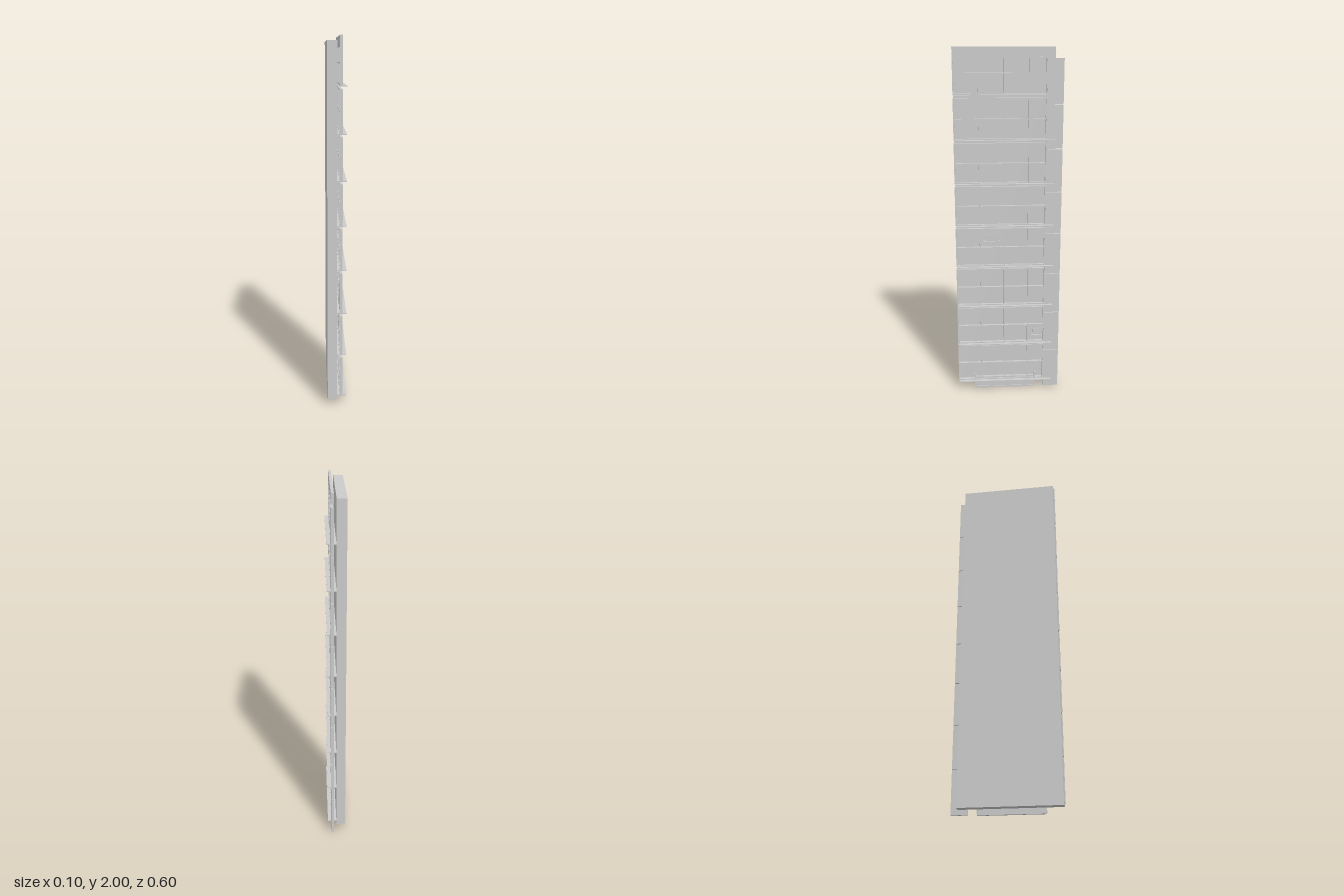
import * as THREE from 'three';

export function createModel() {
  const group = new THREE.Group();
  const material = new THREE.MeshStandardMaterial({ color: 0xcccccc, flatShading: true });

  // Box given by its extents on each axis
  const box = (name, [x0, x1], [y0, y1], [z0, z1]) => {
    const mesh = new THREE.Mesh(new THREE.BoxGeometry(x1 - x0, y1 - y0, z1 - z0), material);
    mesh.position.set((x0 + x1) / 2, (y0 + y1) / 2, (z0 + z1) / 2);
    mesh.name = name;
    group.add(mesh);
  };
  const around = (c, size) => [c - size / 2, c + size / 2];

  // Wall slab behind the facade, and the band along the top
  box('wallSlab', [-0.052, 0], [0.028, 1.975], [-0.255, 0.295]);
  box('topBand', [0.013, 0.028], [1.945, 2], [-0.25, 0.298]);

  const floors = 8, storey = 0.2425, barX = [0.014, 0.029];
  for (let i = 0; i < floors; i++) {
    const y = 0.053 + i * storey;
    const top = i === floors - 1 ? 1.945 : y + 0.224;

    // Projecting floor ledge and corner panel
    box('floorLedge', [0, 0.05], around(y, 0.005), [-0.255, 0.295]);
    box('cornerPanel', [0.015, 0.031], [y - 0.049, y + 0.19], [-0.297, -0.207]);

    // Window grid of the storey
    for (const z of [0.295, 0.16, 0.024, -0.113, -0.206])
      box('verticalMullion', barX, [y, top], around(z, 0.006));
    for (const h of [y + 0.005, y + 0.113, top])
      box('horizontalMullion', barX, around(h, 0.006), [-0.207, 0.297]);
  }

  // Ground-level railing
  box('railingPanel', [0.018, 0.026], [0.008, 0.058], [-0.157, 0.2]);
  box('railingBar', [0.014, 0.03], around(0.07, 0.008), [-0.157, 0.2]);
  box('railingFoot', [0.014, 0.03], [0, 0.01], [-0.157, 0.2]);
  for (const z of [0.2, -0.157]) box('railingPost', [0.014, 0.03], [0.006, 0.095], around(z, 0.006));

  // Small tilted sashes with a sill, set behind the window grid
  const outline = new THREE.Shape([[-0.036, 0], [-0.036, 0.035], [0.022, 0.05], [0.036, 0]]
    .map(([x, y]) => new THREE.Vector2(x, y)));
  const sashGeometry = new THREE.ExtrudeGeometry(outline, { depth: 0.004, bevelEnabled: false });
  for (const [y, z] of [[0.925, 0.093], [0.332, -0.185 + 0.072 - 0.07]]) {
    const sash = new THREE.Mesh(sashGeometry, material);
    sash.name = 'windowSash';
    sash.rotation.y = Math.PI / 2;
    sash.position.set(0.002, y, z);
    group.add(sash);
    box('windowSill', [0, 0.014], around(y, 0.004), around(z, 0.095));
  }
  return group;
}
